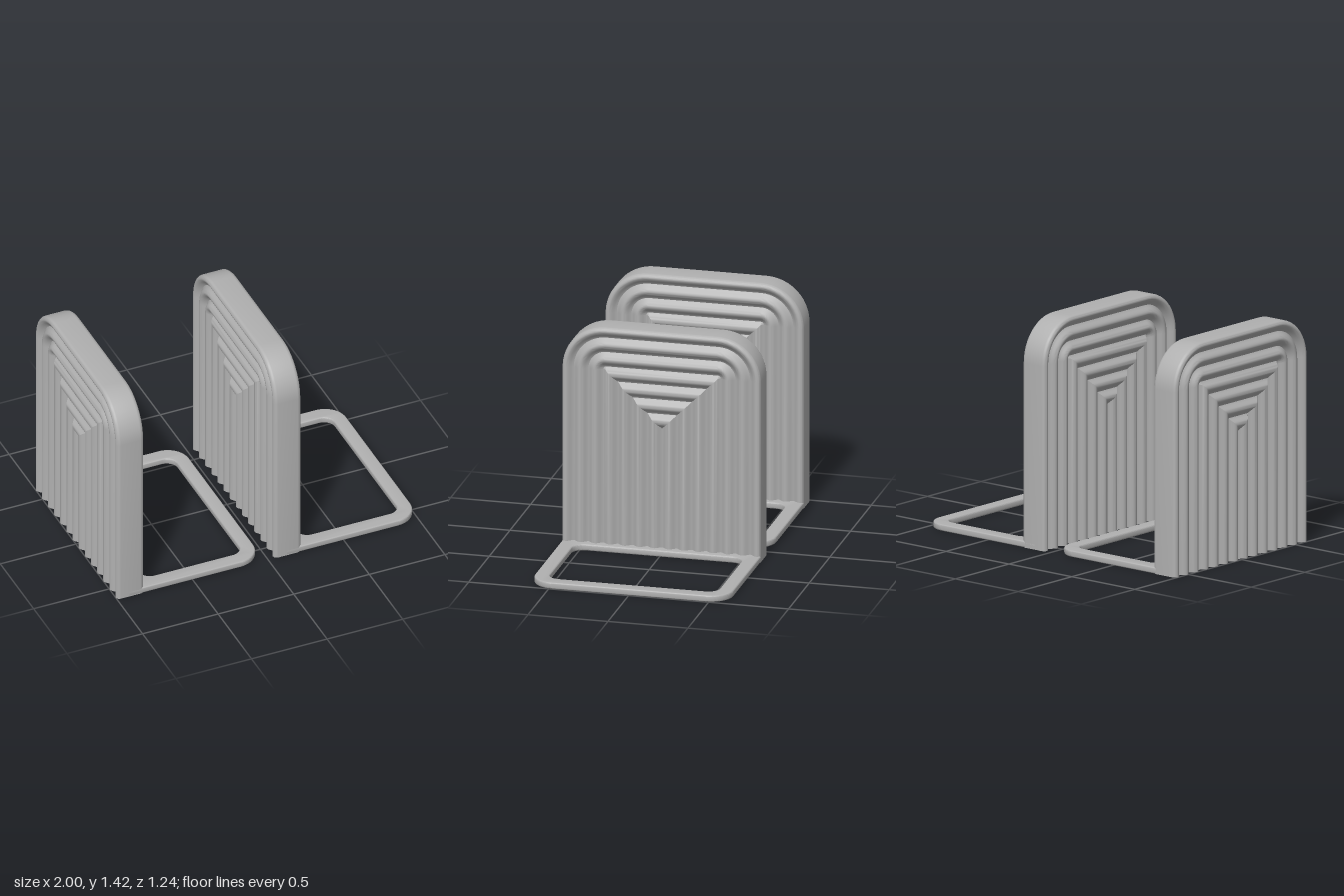
import * as THREE from 'three';
import { toCreasedNormals } from 'three/addons/utils/BufferGeometryUtils.js';

const HALF = 0.62, HEIGHT = 1.42, CORNER = 0.27;   // panel outline
const THICK = 0.09, EDGE = 0.025;                  // half thickness, rim rounding
const PITCH = 0.092, DEPTH = 0.03;                 // rib spacing and groove depth

// Half thickness of the panel at inset d from its outline
function ribHeight(d) {
  const u = (HALF - d) / PITCH;
  const t = 2 * Math.abs(u - Math.round(u));       // 0 in a groove, 1 on a crest
  return THICK - DEPTH * (1 - Math.pow(Math.sin(t * Math.PI / 2), 1.4));
}

// Section as [inset, x]: middle of one face, over the rim, to the middle of the other
function panelSection() {
  const half = [];
  for (let d = HALF; d > EDGE + 0.004; d -= PITCH / 12) half.push([d, ribHeight(d)]);
  for (let k = 5; k >= 0; k--) {
    const a = k / 5 * Math.PI / 2;
    half.push([EDGE * (1 - Math.cos(a)), THICK - EDGE + EDGE * Math.sin(a)]);
  }
  return [...half, ...half.map(([d, x]) => [d, -x]).reverse()];
}

// Arch at inset d: rounded corners that become mitred once the radius runs out
function arch([d, x]) {
  const r = Math.max(CORNER - d, 0), zc = HALF - d - r, yc = HEIGHT - d - r;
  const points = [new THREE.Vector3(x, 0, -(HALF - d))];
  for (const side of [-1, 1]) {
    for (let k = 0; k <= 12; k++) {
      const a = (side < 0 ? k : 12 - k) / 12 * Math.PI / 2;
      points.push(new THREE.Vector3(x, yc + r * Math.sin(a), side * (zc + r * Math.cos(a))));
    }
  }
  points.push(new THREE.Vector3(x, 0, HALF - d));
  return points;
}

function panelGeometry() {
  const rows = panelSection().map(arch);
  const n = rows.length, m = rows[0].length, positions = [];
  const tri = (a, b, c) => {
    if (new THREE.Triangle(a, b, c).getArea() < 1e-9) return;
    for (const p of [a, b, c]) positions.push(p.x, p.y, p.z);
  };
  const quad = (a, b, c, d) => { tri(a, b, c); tri(a, c, d); };
  // ribbed faces and rim
  for (let i = 0; i < n - 1; i++) {
    for (let j = 0; j < m - 1; j++) {
      quad(rows[i][j], rows[i + 1][j], rows[i + 1][j + 1], rows[i][j + 1]);
    }
  }
  // flat underside
  for (let i = 0; i < n / 2 - 1; i++) {
    const ring = [rows[i], rows[i + 1], rows[n - 2 - i], rows[n - 1 - i]];
    quad(...ring.map(r => r[0]).reverse());
    quad(...ring.map(r => r[m - 1]));
  }
  const g = new THREE.BufferGeometry();
  g.setAttribute('position', new THREE.Float32BufferAttribute(positions, 3));
  return toCreasedNormals(g, 0.6);
}

// Rectangle with separate radii at its low-x and high-x ends
function roundedRect(target, x0, x1, h, r0, r1) {
  target.moveTo(x0 + r0, -h);
  target.lineTo(x1 - r1, -h);
  target.absarc(x1 - r1, -h + r1, r1, -Math.PI / 2, 0);
  target.lineTo(x1, h - r1);
  target.absarc(x1 - r1, h - r1, r1, 0, Math.PI / 2);
  target.lineTo(x0 + r0, h);
  if (r0 > 0) target.absarc(x0 + r0, h - r0, r0, Math.PI / 2, Math.PI);
  target.lineTo(x0, -h + r0);
  if (r0 > 0) target.absarc(x0 + r0, -h + r0, r0, Math.PI, Math.PI * 1.5);
  return target;
}

// Open foot frame, x measured from the panel's middle
function footGeometry() {
  const bevel = 0.008;
  const shape = roundedRect(new THREE.Shape(), 0, 0.87 - bevel, HALF - bevel, 0, 0.14 - bevel);
  shape.holes.push(roundedRect(new THREE.Path(), 0.125 - bevel, 0.785 + bevel, 0.53 + bevel, 0.08, 0.08));
  const g = new THREE.ExtrudeGeometry(shape, {
    depth: 0.04 - 2 * bevel, bevelEnabled: true, bevelThickness: bevel,
    bevelSize: bevel, bevelSegments: 3, curveSegments: 12,
  });
  g.rotateX(-Math.PI / 2);
  g.translate(0, bevel, 0);
  return toCreasedNormals(g, 0.6);
}

export function createModel() {
  const grey = new THREE.MeshStandardMaterial({ color: 0xb0b0b0 });
  grey.name = 'grey';
  const panel = panelGeometry(), foot = footGeometry();
  const model = new THREE.Group();
  model.name = 'bookends';
  for (const [name, x] of [['rightBookend', -0.91], ['leftBookend', 0.13]]) {
    const bookend = new THREE.Group();
    bookend.name = name;
    bookend.position.x = x;
    for (const [part, geometry] of [['ribbedPanel', panel], ['footFrame', foot]]) {
      const mesh = new THREE.Mesh(geometry, grey);
      mesh.name = part;
      bookend.add(mesh);
    }
    model.add(bookend);
  }
  return model;
}
